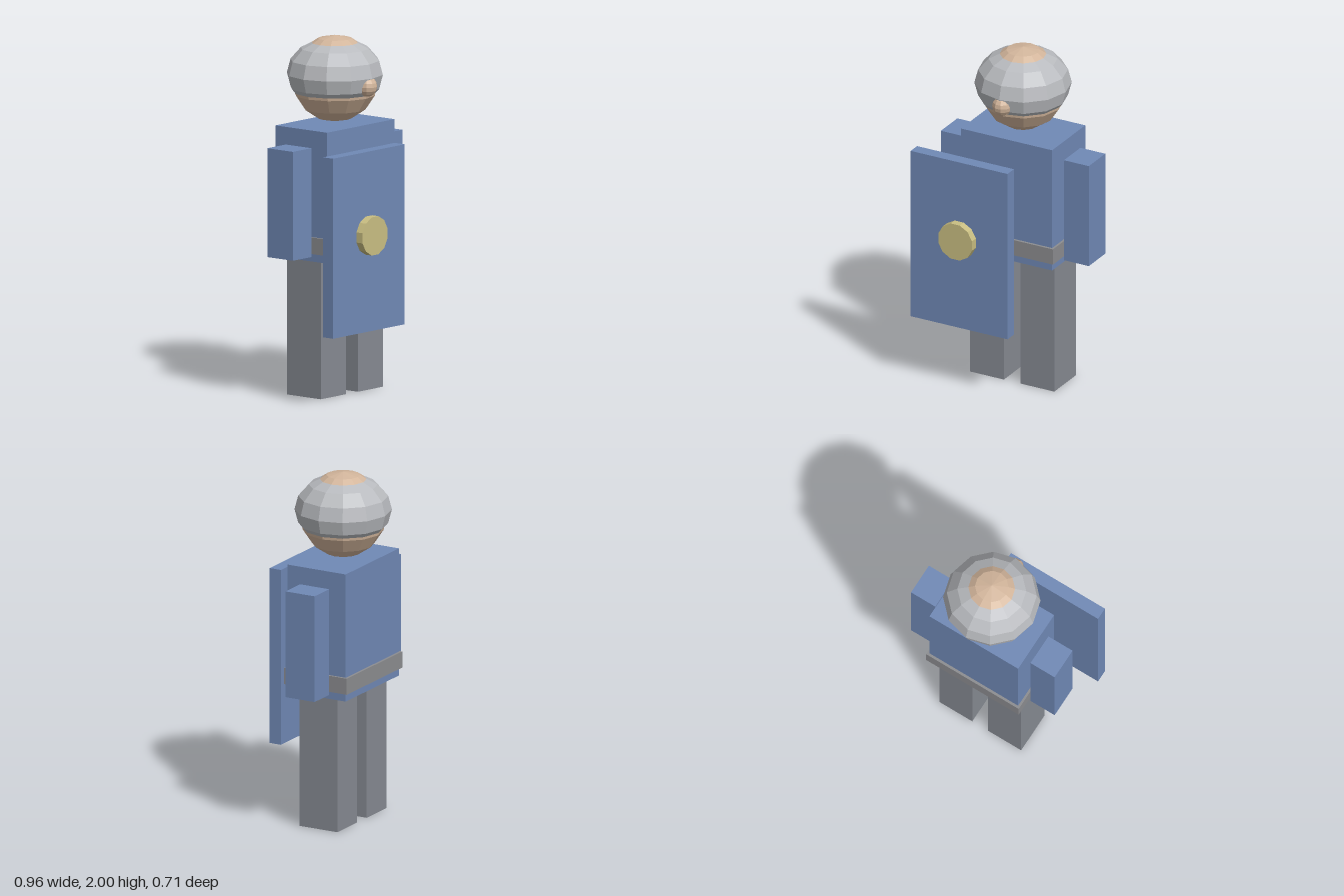
import * as THREE from 'three';

const mat = (name, color) => {
  const m = new THREE.MeshStandardMaterial({ color, flatShading: true });
  m.name = name;
  return m;
};

export function createModel() {
  const blue = mat('blue cloth', 0x7089b6);
  const grey = mat('trouser grey', 0x868a92);
  const beltGrey = mat('belt grey', 0x8c8d90);
  const steel = mat('helmet steel', 0xb9bbbf);
  const skin = mat('skin', 0xd2b59b);
  const gold = mat('boss gold', 0xc9be82);

  const model = new THREE.Group();
  model.name = 'shieldBearer';
  const CX = 0.007, CZ = -0.088; // body axis

  const add = (name, geometry, material, x, y, z) => {
    const mesh = new THREE.Mesh(geometry, material);
    mesh.name = name;
    mesh.position.set(x, y, z);
    model.add(mesh);
    return mesh;
  };
  // Box given by its centre x and z, its bottom and top, and its width and depth
  const box = (name, material, x, z, y0, y1, w, d) =>
    add(name, new THREE.BoxGeometry(w, y1 - y0, d), material, x, (y0 + y1) / 2, z);

  // Body and belt
  box('torso', blue, CX, CZ, 0.772, 1.508, 0.58, 0.374);
  box('belt', beltGrey, CX, CZ, 0.817, 0.91, 0.606, 0.403);

  // Limbs, mirrored about the body axis
  for (const [side, s] of [['left', 1], ['right', -1]]) {
    box(side + 'Arm', blue, CX + s * 0.391, CZ, 0.802, 1.414, 0.158, 0.186);
    box(side + 'Leg', grey, CX + s * 0.16, CZ + 0.002, 0, 0.772, 0.216, 0.244);
  }

  // Head, with a flattened helmet that the crown pokes through
  add('head', new THREE.SphereGeometry(0.243, 12, 8), skin, CX, 1.757, CZ);
  add('helmet', new THREE.SphereGeometry(0.27, 12, 8), steel, CX, 1.782, CZ).scale.y = 0.755;
  add('nose', new THREE.SphereGeometry(0.057, 10, 8), skin, CX, 1.735, 0.146);

  // Shield with a twelve-sided boss
  box('shield', blue, -0.175, 0.275, 0.4, 1.412, 0.615, 0.072);
  const boss = new THREE.CylinderGeometry(0.111, 0.111, 0.05, 12);
  boss.rotateY(Math.PI / 12).rotateX(Math.PI / 2);
  add('shieldBoss', boss, gold, -0.175, 0.943, 0.331);

  return model;
}
